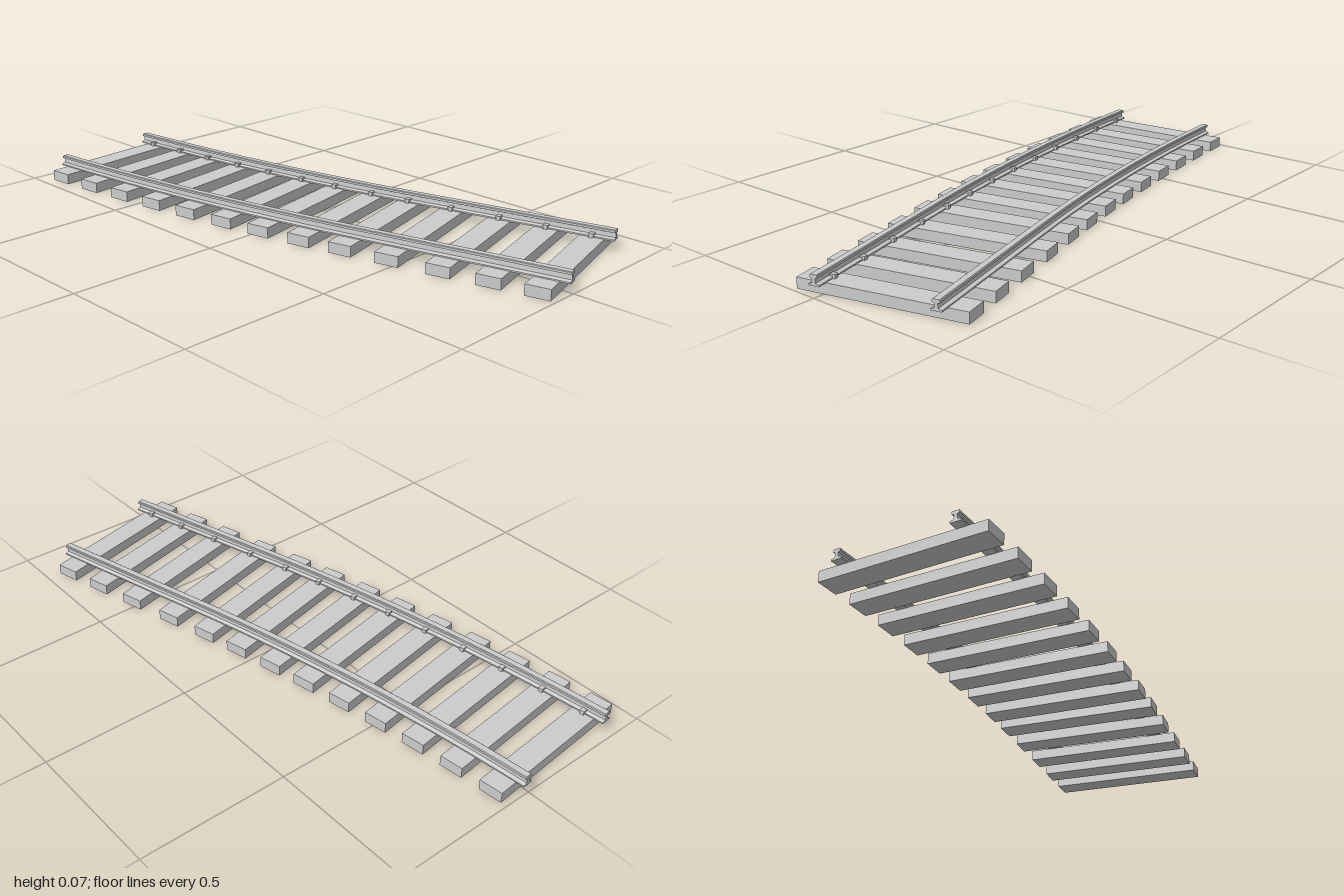
import * as THREE from 'three';
import { toCreasedNormals } from 'three/addons/utils/BufferGeometryUtils.js';

const START = { x: -0.186, z: -0.985 };
const HEADING = THREE.MathUtils.degToRad(4.5);
const BEND = THREE.MathUtils.degToRad(7.3); // radians per unit of length
const CURVE_LENGTH = 1.33;
const LENGTH = 1.972;
const HALF_GAUGE = 0.195;

// Point at distance s along the track (an arc, then a straight) and an offset to the side
function onTrack(s, offset = 0) {
  const c = Math.min(s, CURVE_LENGTH);
  const angle = HEADING + BEND * c;
  const straight = s - c;
  return {
    angle,
    x: START.x + (Math.cos(HEADING) - Math.cos(angle)) / BEND + straight * Math.sin(angle) + offset * Math.cos(angle),
    z: START.z + (Math.sin(angle) - Math.sin(HEADING)) / BEND + straight * Math.cos(angle) - offset * Math.sin(angle),
  };
}

// Right half of the rail section, from foot to head
const HALF_PROFILE = [
  [0.018, 0.035], [0.018, 0.040], [0.006, 0.044], [0.005, 0.058],
  [0.0125, 0.061], [0.0125, 0.068], [0.010, 0.070],
];

function railGeometry(offset) {
  const mirrored = HALF_PROFILE.map(([x, y]) => [-x, y]).reverse();
  const shape = new THREE.Shape([...HALF_PROFILE, ...mirrored].map(([x, y]) => new THREE.Vector2(x, y)));
  const geometry = new THREE.ExtrudeGeometry(shape, { depth: LENGTH, steps: 40, bevelEnabled: false });
  // Bend the straight extrusion along the track
  const pos = geometry.attributes.position;
  for (let i = 0; i < pos.count; i++) {
    const p = onTrack(pos.getZ(i), offset + pos.getX(i));
    pos.setXYZ(i, p.x, pos.getY(i), p.z);
  }
  return toCreasedNormals(geometry, 0.2);
}

export function createModel() {
  const track = new THREE.Group();
  track.name = 'railwayTrack';
  const material = new THREE.MeshStandardMaterial({ color: 0xcccccc });

  const add = (parent, name, geometry, x = 0, y = 0, z = 0) => {
    const mesh = new THREE.Mesh(geometry, material);
    mesh.name = name;
    mesh.position.set(x, y, z);
    parent.add(mesh);
    return mesh;
  };

  // Rails
  add(track, 'leftRail', railGeometry(HALF_GAUGE));
  add(track, 'rightRail', railGeometry(-HALF_GAUGE));

  // Sleepers, each with a spike on the inner side of both rails
  const sleeperGeometry = new THREE.BoxGeometry(0.555, 0.036, 0.08);
  const shankGeometry = new THREE.BoxGeometry(0.008, 0.016, 0.014);
  const headGeometry = new THREE.BoxGeometry(0.018, 0.006, 0.016);
  const stations = [0.07, 0.22, 0.37, 0.52, 0.67, 0.82, 0.965, 1.115, 1.26, 1.42, 1.59, 1.75, 1.9];
  stations.forEach((s) => {
    const p = onTrack(s);
    const unit = new THREE.Group();
    unit.name = 'sleeperUnit';
    unit.position.set(p.x, 0, p.z);
    unit.rotation.y = p.angle;
    track.add(unit);
    add(unit, 'sleeper', sleeperGeometry, 0, 0.018, 0);
    for (const side of [-1, 1]) {
      add(unit, 'spikeShank', shankGeometry, side * (HALF_GAUGE - 0.022), 0.041, 0);
      add(unit, 'spikeHead', headGeometry, side * (HALF_GAUGE - 0.018), 0.047, 0);
    }
  });

  return track;
}
